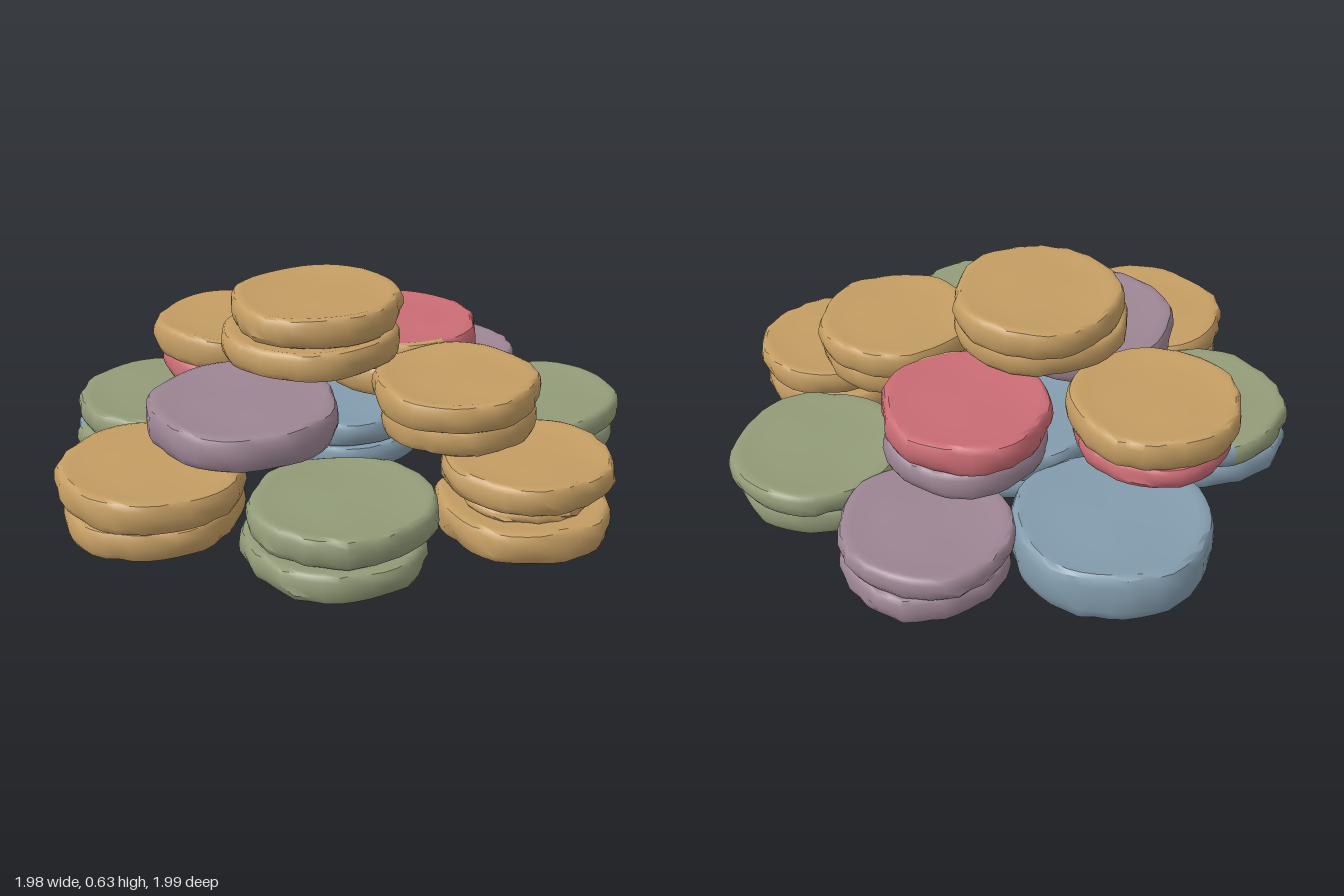
import * as THREE from 'three';
import { toCreasedNormals } from 'three/addons/utils/BufferGeometryUtils.js';

const SEG = 40;

function paint(name, hex) {
  const m = new THREE.MeshStandardMaterial({ color: hex });
  m.name = name;
  return m;
}

const tan = paint('caramel tan', 0xc49d63);
const green = paint('pistachio green', 0x929b78);
const purple = paint('dusty purple', 0x9d8594);
const blue = paint('slate blue', 0x839cad);
const red = paint('raspberry red', 0xca6c74);

// Small seeded random generator
function seeded(seed) {
  let s = seed * 7919 + 17;
  return () => (s = (s * 16807) % 2147483647) / 2147483647;
}

// One uneven biscuit shell: flat base, bulging rim, slightly dished top.
// opts.base colours the underside; opts.patch = [from, to, material] colours a sector of the rim.
function shell(name, x, z, r, y0, y1, color, seed, opts = {}) {
  const h = y1 - y0;
  const profile = [
    [0, 0], [r * 0.6, 0], [r * 0.9, 0.003], [r * 0.955, h * 0.1], [r * 0.99, h * 0.3],
    [r, h * 0.55], [r * 0.99, h * 0.8], [r * 0.96, h * 0.95], [r * 0.91, h],
    [r * 0.84, h - 0.004], [r * 0.5, h - 0.006], [0, h - 0.005],
  ].map(([px, py]) => new THREE.Vector2(px, py));
  const geo = new THREE.LatheGeometry(profile, SEG);
  const rand = seeded(seed);
  rand();
  const phase = [rand() * 6, rand() * 6, rand() * 6];
  const jitter = Array.from({ length: SEG }, () => rand() - 0.5);

  // Hand-shaped rim: slow waves plus small dents around the edge
  const pos = geo.attributes.position;
  const n = profile.length;
  for (let i = 0; i <= SEG; i++) {
    const a = (i / SEG) * Math.PI * 2;
    const wave = 0.006 * Math.sin(2 * a + phase[0]) + 0.005 * Math.sin(5 * a + phase[1]);
    for (let j = 0; j < n; j++) {
      const k = i * n + j;
      const rim = Math.min(1, profile[j].x / r);
      const dent = j > 2 && j < 8 ? jitter[(i + (j > 4 ? 0 : 3)) % SEG] * 0.012 : 0;
      const s = 1 + (wave * rim + dent) / r;
      const lift = j > 4 ? 0.004 * Math.sin(3 * a + phase[2]) * rim : 0;
      pos.setXYZ(k, pos.getX(k) * s, pos.getY(k) + lift, pos.getZ(k) * s);
    }
  }

  // Sort the faces into body, underside and rim patch
  const bins = [[], [], []];
  const index = geo.index.array;
  for (let i = 0; i < SEG; i++) {
    const a = ((i + 0.5) / SEG) * Math.PI * 2;
    for (let j = 0; j < n - 1; j++) {
      let bin = 0;
      if (j < 2) bin = 1;
      else if (j < 8 && opts.patch) {
        const [from, to] = opts.patch;
        if ((a > from && a < to) || (a - Math.PI * 2 > from && a - Math.PI * 2 < to)) bin = 2;
      }
      const at = (i * (n - 1) + j) * 6;
      for (let q = 0; q < 6; q++) bins[bin].push(index[at + q]);
    }
  }
  geo.setIndex(bins.flat());
  let start = 0;
  bins.forEach((b, m) => {
    if (b.length) geo.addGroup(start, b.length, m);
    start += b.length;
  });
  geo.deleteAttribute('uv');

  const materials = [color, opts.base || color, opts.patch ? opts.patch[2] : color];
  const mesh = new THREE.Mesh(toCreasedNormals(geo, 0.7), materials);
  mesh.name = name;
  mesh.position.set(x, y0, z);
  return mesh;
}

export function createModel() {
  const group = new THREE.Group();
  group.name = 'biscuitPile';
  let seed = 1;

  // Each biscuit is a group of one or two shells: [x, z, r, y0, y1, material, options]
  function biscuit(name, ...shells) {
    const g = new THREE.Group();
    g.name = name;
    const labels = shells.length > 1 ? ['lowerShell', 'upperShell'] : ['shell'];
    shells.forEach(([x, z, r, y0, y1, mat, opts], i) =>
      g.add(shell(labels[i], x, z, r, y0, y1, mat, seed++, opts)));
    group.add(g);
  }

  // Ground layer: six around one
  biscuit('backBiscuit', [-0.18, -0.675, 0.323, 0, 0.19, blue, { base: purple }]);
  biscuit('backLeftBiscuit',
    [0.40, -0.56, 0.28, 0, 0.105, purple],
    [0.40, -0.56, 0.285, 0.1, 0.19, purple]);
  biscuit('leftBiscuit',
    [0.67, -0.09, 0.28, 0, 0.105, green],
    [0.685, -0.085, 0.295, 0.1, 0.19, green]);
  biscuit('frontLeftBiscuit',
    [0.52, 0.53, 0.285, 0, 0.115, tan],
    [0.54, 0.485, 0.272, 0.135, 0.235, tan]);
  biscuit('frontLeftFilling', [0.53, 0.51, 0.22, 0.1, 0.145, tan]);
  biscuit('frontBiscuit',
    [-0.095, 0.695, 0.29, 0, 0.1, green],
    [-0.07, 0.67, 0.29, 0.095, 0.2, green]);
  biscuit('frontRightBiscuit',
    [-0.67, 0.425, 0.295, 0, 0.105, tan, { base: green }],
    [-0.67, 0.43, 0.305, 0.1, 0.215, tan]);
  biscuit('rightBiscuit',
    [-0.69, -0.175, 0.295, 0, 0.105, green, { patch: [1.5, 5.0, blue] }],
    [-0.685, -0.175, 0.3, 0.1, 0.2, green, { patch: [1.5, 3.2, blue] }]);
  biscuit('centreBiscuit',
    [-0.03, -0.1, 0.285, 0.01, 0.11, blue, { base: green }],
    [-0.03, -0.1, 0.285, 0.105, 0.2, blue]);

  // Middle layer
  biscuit('middleBackRightBiscuit',
    [-0.42, -0.37, 0.275, 0.205, 0.295, red],
    [-0.42, -0.38, 0.288, 0.285, 0.405, tan]);
  biscuit('middleBackLeftBiscuit',
    [0.2, -0.27, 0.275, 0.205, 0.315, purple, { patch: [-1.45, 0.5, tan] }],
    [0.2, -0.27, 0.285, 0.31, 0.425, red, { patch: [-1.45, 0.5, tan] }]);
  biscuit('middleFrontLeftBiscuit',
    [0.335, 0.28, 0.25, 0.23, 0.335, tan],
    [0.33, 0.28, 0.278, 0.325, 0.43, tan]);
  biscuit('middleFrontRightBiscuit', [-0.375, 0.25, 0.325, 0.22, 0.35, purple, { base: tan }]);

  // Top biscuit
  biscuit('topBiscuit',
    [-0.145, 0.045, 0.3, 0.42, 0.525, tan],
    [-0.12, 0.01, 0.297, 0.52, 0.63, tan]);

  return group;
}
